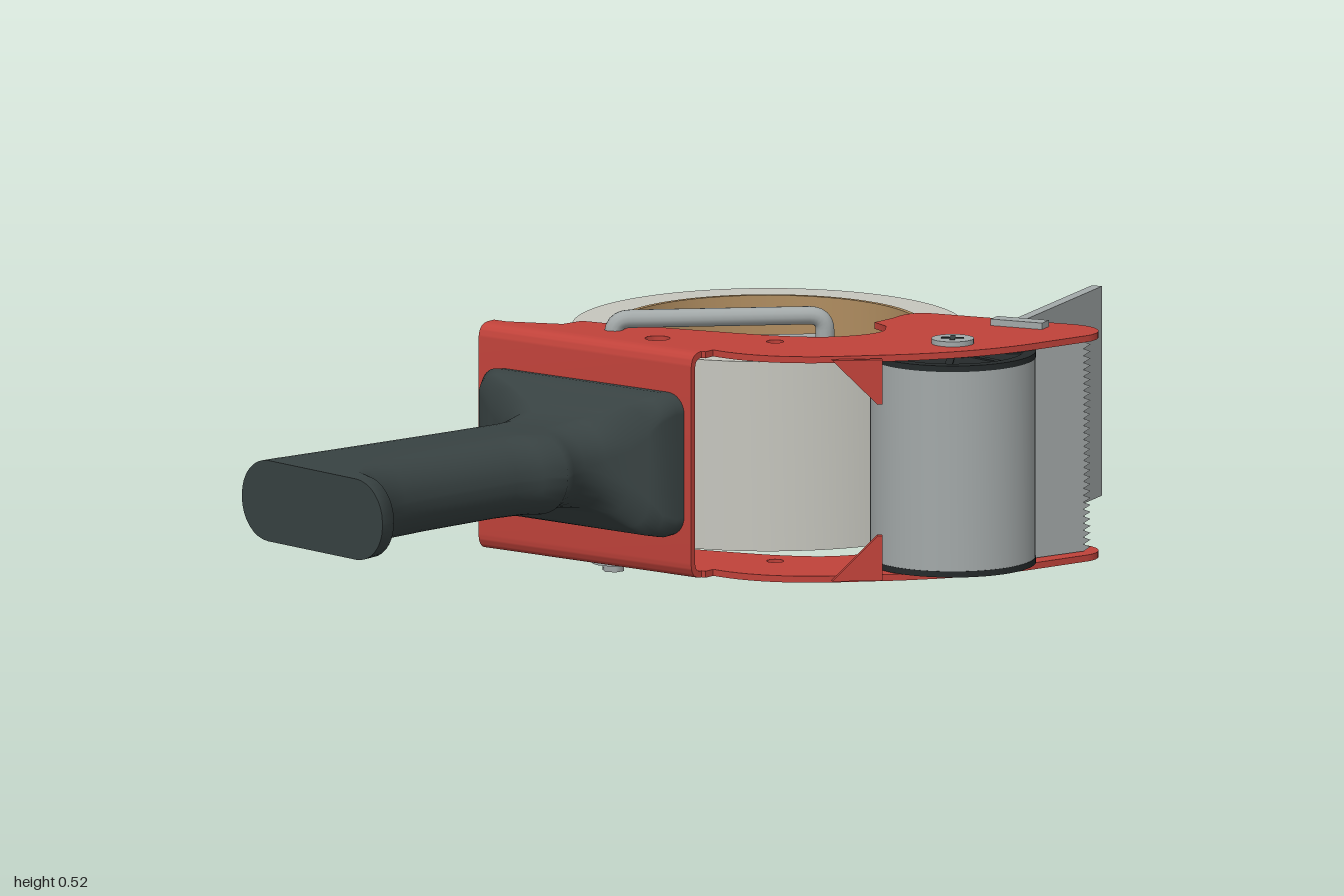
import * as THREE from 'three';
import { toCreasedNormals } from 'three/addons/utils/BufferGeometryUtils.js';

const mat = (color) => new THREE.MeshStandardMaterial({ color, side: THREE.DoubleSide });
const V = (x, y, z) => new THREE.Vector3(x, y, z);
const Y0 = 0.03, Y1 = 0.483, MID = (Y0 + Y1) / 2, T = 0.013; // frame bottom, top, middle, sheet thickness

export function createModel() {
  const model = new THREE.Group();
  const red = mat(0xc0423a), dark = mat(0x384242), black = mat(0x252a2b);
  const steel = mat(0xa3a9a9), film = mat(0xc6c6be), card = mat(0xb08d60);

  const add = (name, geometry, material, x = 0, y = 0, z = 0, turn = 0) => {
    const mesh = new THREE.Mesh(geometry, material);
    mesh.name = name;
    mesh.position.set(x, y, z);
    mesh.rotation.y = turn;
    model.add(mesh);
    return mesh;
  };
  const extrude = (shape, depth, curveSegments = 12) =>
    toCreasedNormals(new THREE.ExtrudeGeometry(shape, { depth, bevelEnabled: false, curveSegments }), 0.6);
  // Horizontal slab: shape y becomes z, thickness hangs down from the given top
  const slab = (name, shape, top, depth, material, x = 0, z = 0, seg = 12) =>
    add(name, extrude(shape, depth, seg).rotateX(Math.PI / 2), material, x, top, z);
  const disc = (name, r, y0, y1, material, x, z, sides = 32) =>
    add(name, new THREE.CylinderGeometry(r, r, y1 - y0, sides), material, x, (y0 + y1) / 2, z);
  const circle = (x, y, r) => new THREE.Path().absarc(x, y, r, 0, Math.PI * 2, true);
  const annulus = (outer, inner) => {
    const s = new THREE.Shape().absarc(0, 0, outer, 0, Math.PI * 2, false);
    s.holes.push(circle(0, 0, inner));
    return s;
  };

  // Tape roll on its cardboard core
  slab('tapeRoll', annulus(0.387, 0.306), 0.44, 0.38, film, -0.166, -0.325, 64);
  slab('tapeCore', annulus(0.306, 0.296), 0.443, 0.386, card, -0.166, -0.325, 64);

  // Side plates, one above and one below the roll
  const plate = new THREE.Shape();
  plate.moveTo(-0.39, 0.2);
  plate.lineTo(-0.275, 0.12);
  plate.lineTo(-0.275, 0.07);
  plate.lineTo(-0.21, 0.045);
  plate.lineTo(-0.02, -0.05);
  plate.splineThru([[0.09, -0.108], [0.165, -0.17], [0.2, -0.24], [0.2, -0.3], [0.165, -0.34]].map(p => new THREE.Vector2(...p)));
  plate.lineTo(0.12, -0.35);
  plate.lineTo(0.11, -0.41);
  plate.quadraticCurveTo(0.08, -0.475, 0.13, -0.5);
  plate.lineTo(0.4, -0.63);
  plate.bezierCurveTo(0.46, -0.655, 0.505, -0.61, 0.503, -0.57);
  plate.lineTo(0.495, -0.43);
  plate.quadraticCurveTo(0.485, -0.29, 0.4, -0.15);
  plate.lineTo(0.335, -0.05);
  plate.quadraticCurveTo(0.25, 0.07, 0.125, 0.08);
  plate.lineTo(0.13, 0.105);
  plate.lineTo(-0.385, 0.205);
  plate.holes.push(circle(-0.04, 0.08, 0.025), circle(0.14, -0.07, 0.017));
  slab('upperSidePlate', plate, Y1, T, red);
  slab('lowerSidePlate', plate, Y0 + T, T, red);

  // Front plate, bent round into both side plates
  const r = 0.032, leg = 0.05, bend = new THREE.Shape();
  bend.moveTo(leg, Y0);
  bend.lineTo(r, Y0);
  bend.quadraticCurveTo(0, Y0, 0, Y0 + r);
  bend.lineTo(0, Y1 - r);
  bend.quadraticCurveTo(0, Y1, r, Y1);
  bend.lineTo(leg, Y1);
  bend.lineTo(leg, Y1 - T);
  bend.lineTo(r, Y1 - T);
  bend.quadraticCurveTo(T, Y1 - T, T, Y1 - r);
  bend.lineTo(T, Y0 + r);
  bend.quadraticCurveTo(T, Y0 + T, r, Y0 + T);
  bend.lineTo(leg, Y0 + T);
  add('frontPlate', extrude(bend, 0.527).rotateY(Math.PI / 2), red, -0.39, 0, 0.24, Math.atan2(0.1, 0.52));

  // Folded triangular guides beside the roller
  for (const [name, y, d] of [['upperGuide', Y1 - 0.005, -1], ['lowerGuide', Y0 + 0.005, 1]]) {
    const s = new THREE.Shape([[0, 0], [0.1, 0], [0.1, 0.09 * d], [0.09, 0.09 * d]].map(p => new THREE.Vector2(...p)));
    add(name, extrude(s, T), red, 0.335, y, -0.045, Math.atan2(0.08, 0.06));
  }

  // Handle lofted through rounded sections: left x, z, right x, z, half height, corner radius
  const sections = [
    [-0.365, 0.23, 0.11, 0.14, 0.143, 0.04], [-0.37, 0.25, 0.112, 0.165, 0.145, 0.04],
    [-0.358, 0.268, 0.11, 0.2, 0.138, 0.045], [-0.31, 0.28, 0.095, 0.222, 0.122, 0.06],
    [-0.265, 0.29, 0.055, 0.24, 0.103, 0.07], [-0.235, 0.315, 0.024, 0.275, 0.089, 0.075],
    [-0.216, 0.38, 0.02, 0.325, 0.082, 0.078], [-0.215, 0.42, 0.032, 0.365, 0.081, 0.078],
    [-0.216, 0.45, 0.056, 0.402, 0.081, 0.078], [-0.217, 0.48, 0.034, 0.445, 0.081, 0.078],
    [-0.218, 0.53, 0.026, 0.51, 0.081, 0.078], [-0.225, 0.7, 0.033, 0.7, 0.081, 0.078],
    [-0.23, 0.82, 0.045, 0.82, 0.081, 0.078], [-0.234, 0.9, 0.075, 0.9, 0.081, 0.078],
    [-0.236, 0.945, 0.12, 0.945, 0.081, 0.078], [-0.238, 0.965, 0.17, 0.963, 0.081, 0.078],
    [-0.238, 1, 0.178, 1, 0.081, 0.078],
  ];
  const pos = [], idx = [], N = 36;
  const ring = ([lx, lz, rx, rz, h, c]) => {
    const half = (rx - lx) / 2;
    for (let k = 0; k < N; k++) {
      const q = Math.floor(k / 9), a = (q + (k % 9) / 8) * Math.PI / 2;
      const x = (q === 0 || q === 3 ? 1 : -1) * (half - c) + c * Math.cos(a);
      const y = (q < 2 ? 1 : -1) * (h - c) + c * Math.sin(a);
      pos.push(lx + half + x, MID + y, lz + (rz - lz) * (x + half) / (2 * half));
    }
  };
  sections.forEach(ring);
  for (let i = 0; i < sections.length - 1; i++) {
    for (let k = 0; k < N; k++) {
      const a = i * N + k, b = i * N + (k + 1) % N;
      idx.push(a, b, b + N, a, b + N, a + N);
    }
  }
  const base = pos.length / 3;
  ring(sections[sections.length - 1]);
  pos.push(-0.03, MID, 1);
  for (let k = 0; k < N; k++) idx.push(base + N, base + k, base + (k + 1) % N);
  const grip = new THREE.BufferGeometry();
  grip.setAttribute('position', new THREE.Float32BufferAttribute(pos, 3));
  grip.setIndex(idx);
  grip.computeVertexNormals();
  add('handle', grip, dark);

  // Roller with dark spoked ends
  const RX = 0.385, RZ = -0.32;
  slab('roller', annulus(0.163, 0.15), 0.465, 0.42, steel, RX, RZ, 48);
  for (const [y0, y1] of [[0.043, 0.055], [0.455, 0.467]]) {
    disc('rollerEnd', 0.155, y0 + 0.003, y1 - 0.003, black, RX, RZ, 48);
    disc('rollerHub', 0.06, y0, y1, black, RX, RZ);
    for (let i = 0; i < 4; i++)
      add('rollerSpoke', new THREE.BoxGeometry(0.29, y1 - y0, 0.015), black, RX, (y0 + y1) / 2, RZ, i * Math.PI / 4);
    slab('rollerRim', annulus(0.164, 0.14), y1 + 0.001, 0.012, black, RX, RZ, 48);
  }

  // Toothed cutting blade
  const blade = new THREE.Shape(), teeth = 30, step = 0.42 / teeth;
  blade.moveTo(0, 0.045);
  for (let i = 0; i < teeth; i++) {
    blade.lineTo(0.155, 0.045 + i * step);
    blade.lineTo(0.172, 0.045 + (i + 0.5) * step);
  }
  blade.lineTo(0.155, 0.465);
  blade.lineTo(0, 0.465);
  add('blade', extrude(blade, 0.008), steel, 0.455, 0, -0.43, Math.atan2(0.17, 0.015));

  // Upright sheets: blade backing and the wiper flap
  const wall = (name, [ax, az], [bx, bz], thick) => add(name,
    new THREE.BoxGeometry(Math.hypot(bx - ax, bz - az), 0.42, thick), steel,
    (ax + bx) / 2, 0.255, (az + bz) / 2, Math.atan2(az - bz, bx - ax));
  wall('bladeBacking', [0.27, -0.505], [0.468, -0.59], 0.012);
  wall('wiperFlap', [0.285, -0.5], [0.055, -0.995], 0.022);

  // Backing lugs and roller screws on both plates
  for (const [y, out] of [[Y1, 1], [Y0, -1]]) {
    add('backingLug', new THREE.BoxGeometry(0.11, 0.026, 0.034), steel, 0.34, y, -0.537, 0.44);
    disc('rollerScrew', 0.042, y - 0.005, y + 0.01, steel, RX, RZ);
    for (const turn of [0.8, 0.8 + Math.PI / 2])
      add('screwSlot', new THREE.BoxGeometry(0.045, 0.004, 0.01), dark, RX, y + out * 0.0095, RZ, turn);
  }

  // Bent brake wire: upright pivot, arm above the frame, end inside the core
  const wire = new THREE.CurvePath(), top = 0.504, px = -0.165, pz = 0.085, ex = 0.08, ez = -0.255;
  const at = (t, y) => V(px + (ex - px) * t, y, pz + (ez - pz) * t);
  wire.add(new THREE.LineCurve3(at(0, 0.012), at(0, top - 0.03)));
  wire.add(new THREE.QuadraticBezierCurve3(at(0, top - 0.03), at(0, top), at(0.08, top)));
  wire.add(new THREE.LineCurve3(at(0.08, top), at(0.92, top)));
  wire.add(new THREE.QuadraticBezierCurve3(at(0.92, top), at(1, top), at(1, top - 0.03)));
  wire.add(new THREE.LineCurve3(at(1, top - 0.03), at(1, 0.08)));
  add('brakeWire', new THREE.TubeGeometry(wire, 160, 0.0185, 12), steel);
  disc('brakeWireEnd', 0.0185, 0.076, 0.082, steel, ex, ez, 12);
  disc('pivotWasher', 0.042, 0.016, Y0, steel, px, pz);
  disc('pivotNut', 0.022, 0, 0.016, steel, px, pz, 6);

  // Coil spring on the pivot, with its straight arm
  const coil = [];
  for (let i = 0; i <= 192; i++) {
    const a = i * Math.PI / 6;
    coil.push(V(px + 0.03 * Math.cos(a), 0.09 + 0.36 * i / 192, pz + 0.03 * Math.sin(a)));
  }
  add('spring', new THREE.TubeGeometry(new THREE.CatmullRomCurve3(coil), 320, 0.006, 6), steel);
  add('springArm', new THREE.TubeGeometry(
    new THREE.LineCurve3(V(px - 0.02, 0.455, pz - 0.02), V(0.065, 0.455, -0.29)), 1, 0.006, 6), steel);

  return model;
}
